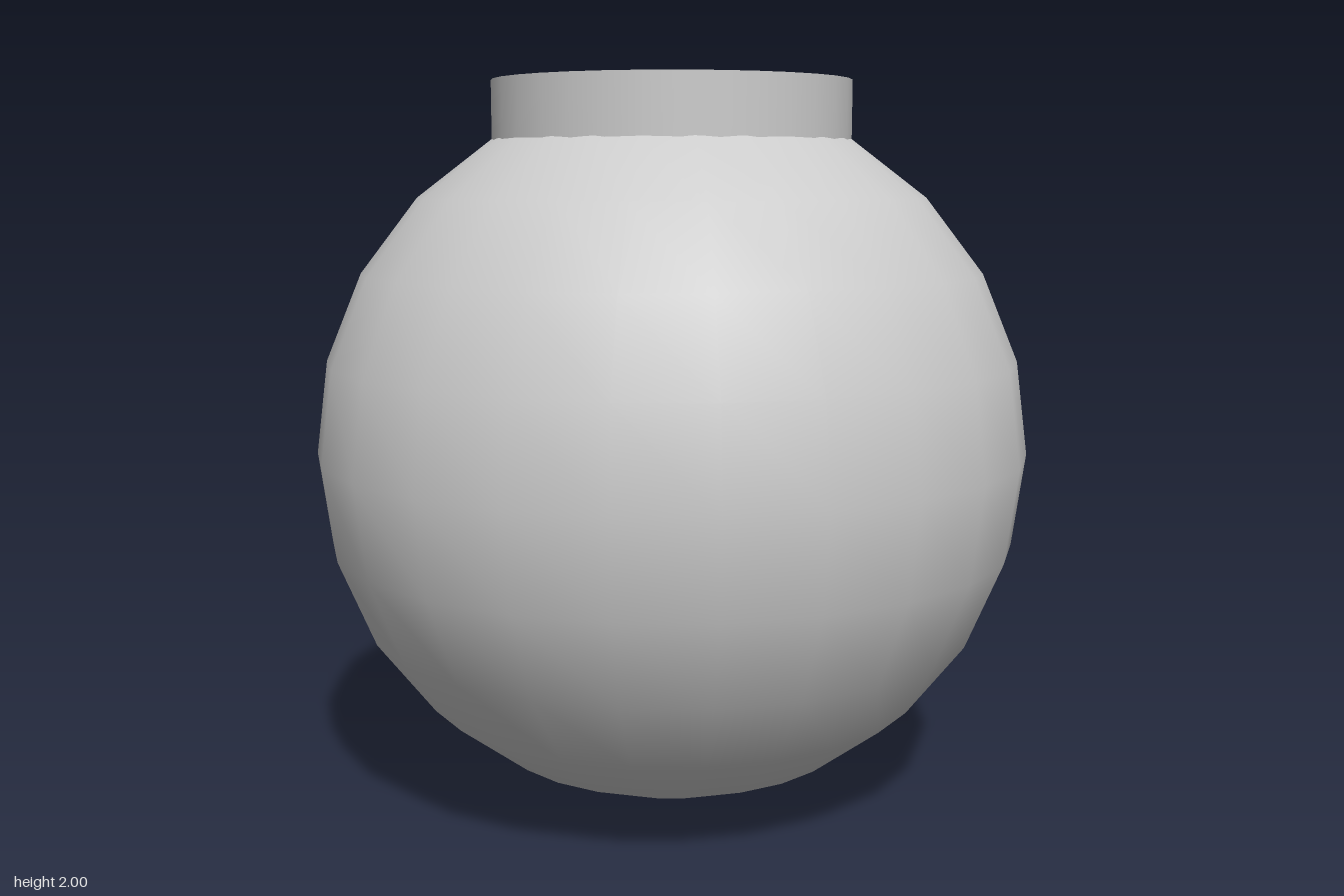
import * as THREE from 'three';

export function createModel() {
  const group = new THREE.Group();
  const material = new THREE.MeshStandardMaterial({ color: 0xcccccc });
  const R = 0.987;

  function add(name, geometry, y) {
    const mesh = new THREE.Mesh(geometry, material);
    mesh.name = name;
    mesh.position.y = y;
    group.add(mesh);
  }

  // round body, resting on its lower pole
  add('body', new THREE.SphereGeometry(R, 24, 12), R);

  // flat cap, sunk a little into the top of the body
  const capHeight = 0.2;
  add('cap', new THREE.CylinderGeometry(R / 2, R / 2, capHeight, 32), 2 - capHeight / 2);

  return group;
}
